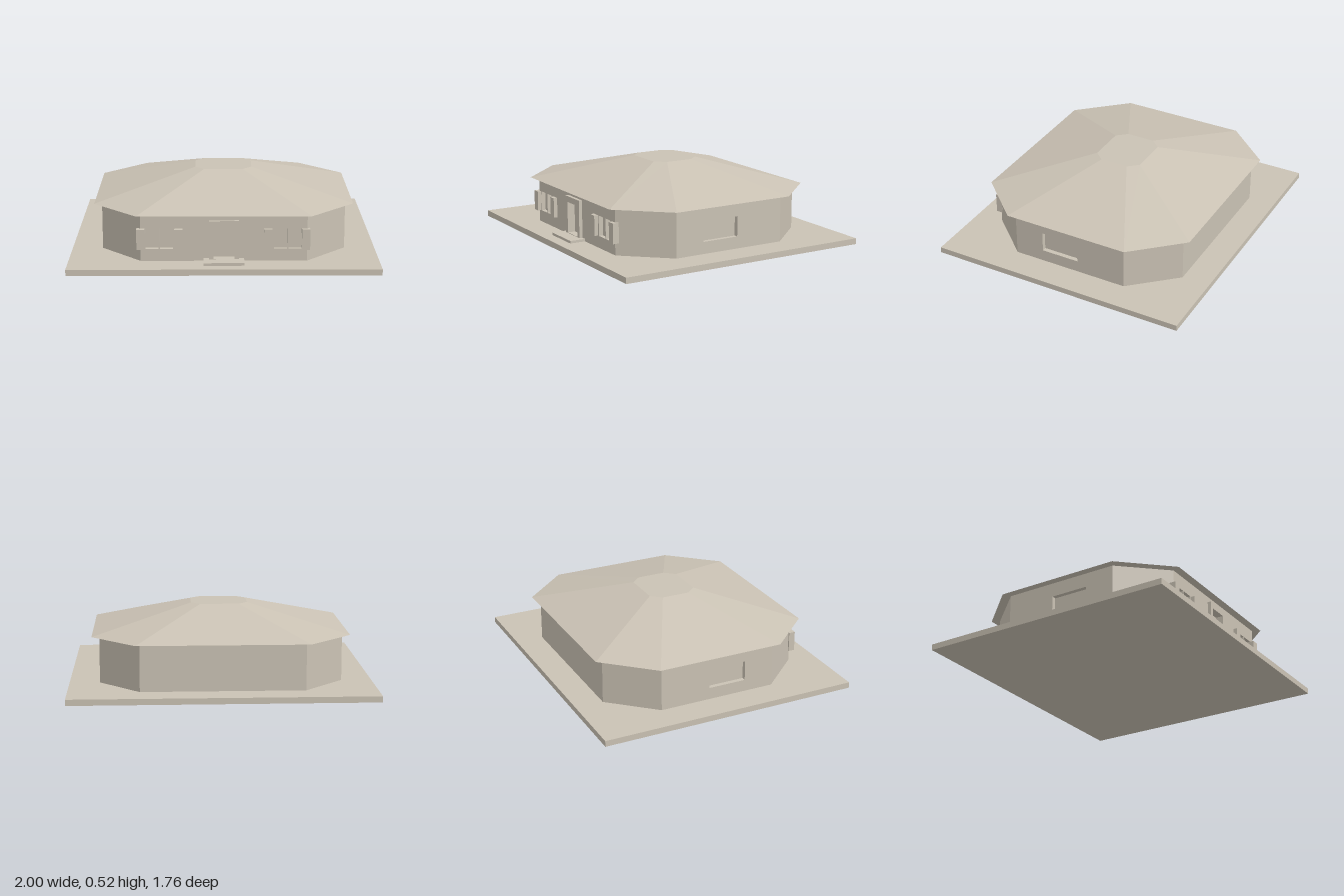
import * as THREE from 'three';

const BASE_TOP = 0.04, EAVE = 0.35, RECESS = 0.035;

// Eight corners of a chamfered rectangle, running from front right round by +x
function octagon(x, z, cx, cz) {
  return [[cx, z], [x, cz], [x, -cz], [cx, -z], [-cx, -z], [-x, -cz], [-x, cz], [-cx, z]];
}

// Closed flat-sided solid between two octagons at two heights
function loft(lower, y0, upper, y1) {
  const pos = [];
  const tri = (...pts) => pts.forEach(p => pos.push(...p));
  const n = lower.length;
  for (let i = 0; i < n; i++) {
    const j = (i + 1) % n;
    const a = [lower[i][0], y0, lower[i][1]], b = [lower[j][0], y0, lower[j][1]];
    const c = [upper[j][0], y1, upper[j][1]], d = [upper[i][0], y1, upper[i][1]];
    tri(a, b, c);
    tri(a, c, d);
    tri([0, y1, 0], d, c);
    tri([0, y0, 0], b, a);
  }
  const g = new THREE.BufferGeometry();
  g.setAttribute('position', new THREE.Float32BufferAttribute(pos, 3));
  g.computeVertexNormals();
  return g;
}

// Rectangle outline given by its edges
function rect(Type, [x0, x1, y0, y1]) {
  return new Type([[x0, y0], [x1, y0], [x1, y1], [x0, y1]].map(p => new THREE.Vector2(...p)));
}

// Upright slab with rectangular openings, its outer face at z = 0
function slab(outline, holes, depth) {
  const shape = rect(THREE.Shape, outline);
  shape.holes = holes.map(h => rect(THREE.Path, h));
  return new THREE.ExtrudeGeometry(shape, { depth, bevelEnabled: false }).translate(0, 0, -depth);
}

export function createModel() {
  const model = new THREE.Group();
  model.name = 'house';
  const stone = new THREE.MeshStandardMaterial({ color: 0xcac2b4 });
  stone.name = 'warm grey';

  const add = (name, geometry, parent = model) => {
    const mesh = new THREE.Mesh(geometry, stone);
    mesh.name = name;
    parent.add(mesh);
    return mesh;
  };
  const box = (name, [x0, x1], [y0, y1], [z0, z1]) =>
    add(name, new THREE.BoxGeometry(x1 - x0, y1 - y0, z1 - z0))
      .position.set((x0 + x1) / 2, (y0 + y1) / 2, (z0 + z1) / 2);

  // Ground slab and hipped roof
  box('groundSlab', [-1, 1], [0, BASE_TOP], [-0.88, 0.88]);
  add('roof', loft(octagon(0.85, 0.745, 0.56, 0.43), EAVE, octagon(0.19, 0.163, 0.13, 0.095), 0.52));

  // Openings of each wall, in the wall's own x and y; others stay blank
  const door = [-0.068, 0.068, 0.06, 0.27];
  const sill = 0.12, head = 0.255;
  const openings = {
    1: [[-0.2, 0.06, sill, head]],
    5: [[-0.06, 0.2, sill, head]],
    7: [door, ...[-0.503, -0.411, 0.321, 0.413].map(x => [x, x + 0.085, sill, head])],
  };

  // Eight wall panels with recessed panes
  const plan = octagon(0.8, 0.692, 0.535, 0.4);
  plan.forEach(([ax, az], i) => {
    const [bx, bz] = plan[(i + 1) % 8];
    const half = Math.hypot(bx - ax, bz - az) / 2;
    const holes = openings[i] || [];
    const wall = new THREE.Group();
    wall.name = 'wall';
    wall.position.set((ax + bx) / 2, 0, (az + bz) / 2);
    wall.rotation.y = Math.atan2(az - bz, bx - ax);
    add('wallPanel', slab([-half, half, BASE_TOP, EAVE], holes, RECESS), wall);
    for (const h of holes) {
      const [x0, x1, y0, y1] = h;
      const pane = add(h === door ? 'door' : 'windowPane', new THREE.PlaneGeometry(x1 - x0, y1 - y0), wall);
      pane.position.set((x0 + x1) / 2, (y0 + y1) / 2, -RECESS + 0.005);
    }
    model.add(wall);
  });

  // Shutters on both sides of each front window
  for (const x of [-0.534, -0.291, 0.283, 0.526]) {
    box('shutter', [x - 0.026, x + 0.026], [sill, head], [0.675, 0.718]);
  }

  // Door surround and step
  add('doorFrame', slab([-0.095, 0.095, 0.055, 0.31], [door], 0.04)).position.z = 0.715;
  box('doorStep', [-0.13, 0.13], [BASE_TOP, 0.057], [0.67, 0.8]);

  return model;
}
